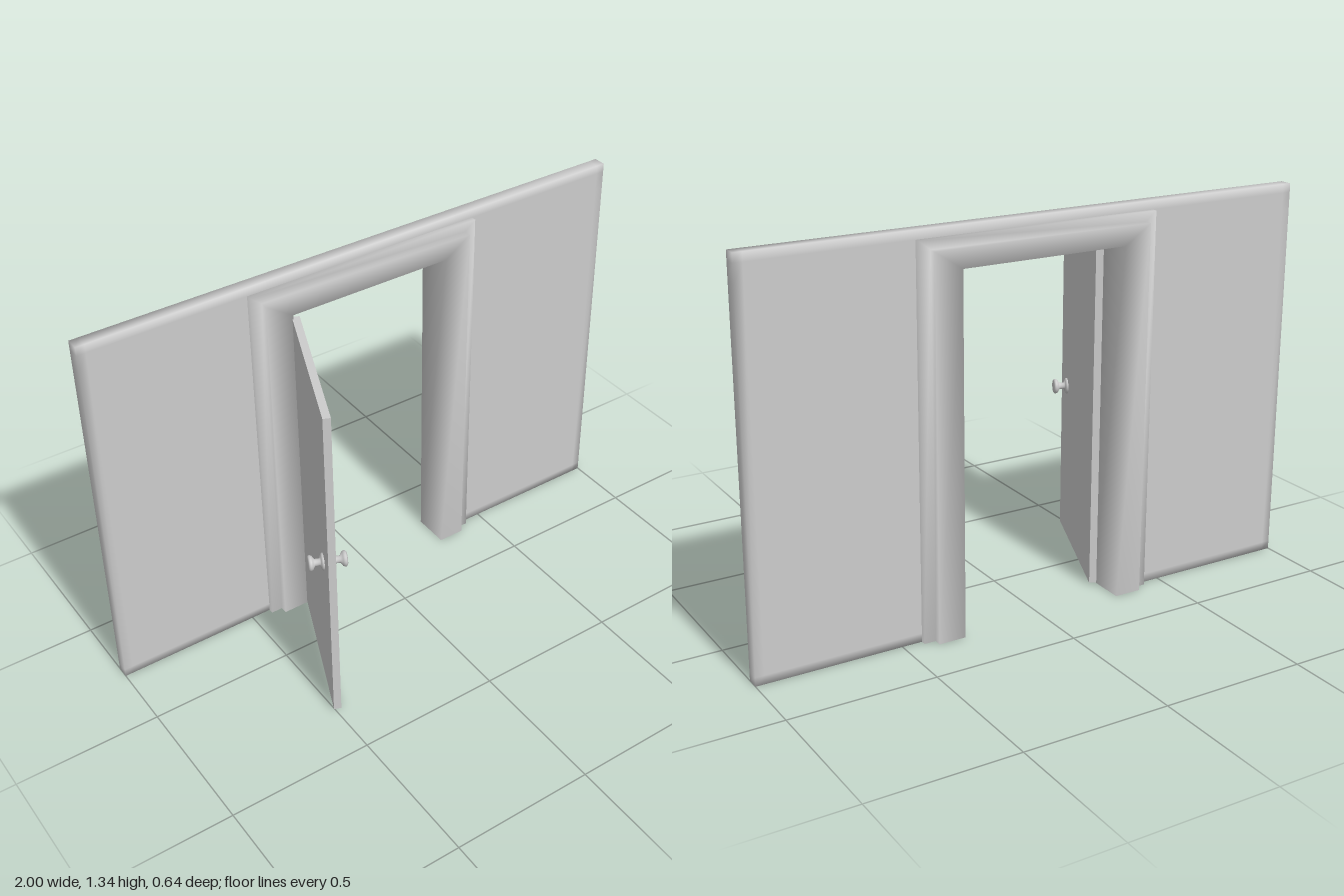
import * as THREE from 'three';
import { mergeVertices } from 'three/addons/utils/BufferGeometryUtils.js';

const material = new THREE.MeshStandardMaterial({ color: 0xcccccc });

function addMesh(parent, name, geometry) {
  const mesh = new THREE.Mesh(geometry, material);
  mesh.name = name;
  parent.add(mesh);
  return mesh;
}

// Wall slab: a segmented box with narrow border strips for soft edges,
// and a doorway whose cut edge is hidden inside the frame.
function wallGeometry() {
  const xs = [-1, -0.97, -0.36, 0.36, 0.97, 1];
  const ys = [0, 0.03, 1.25, 1.31, 1.34];
  let g = new THREE.BoxGeometry(5, 4, 0.044, 5, 4, 1);
  g.deleteAttribute('uv');
  g.deleteAttribute('normal');
  const p = g.attributes.position;
  for (let i = 0; i < p.count; i++) {
    p.setX(i, xs[Math.round(p.getX(i) + 2.5)]);
    p.setY(i, ys[Math.round(p.getY(i) + 2)]);
  }
  const old = g.index.array, kept = [];
  for (let i = 0; i < old.length; i += 3) {
    const tri = [old[i], old[i + 1], old[i + 2]];
    const inDoorway = tri.every(v => Math.abs(p.getX(v)) < 0.37 && p.getY(v) < 1.26);
    if (!inDoorway) kept.push(...tri);
  }
  g.setIndex(kept);
  g = mergeVertices(g);
  g.computeVertexNormals();
  return g;
}

// Door frame: a stepped profile carried up one jamb, across and down the other.
function frameGeometry() {
  const inner = [0.295, 1.215], middle = [0.39, 1.278], outer = [0.43, 1.31];
  const profile = [
    [inner, -0.185], [middle, -0.185], [middle, -0.21], [outer, -0.21],
    [outer, -0.29], [middle, -0.29], [middle, -0.317], [inner, -0.317],
  ];
  const n = profile.length, pos = [], index = [];
  // Stations: foot and mitred corner of each jamb
  for (const [side, up] of [[1, 0], [1, 1], [-1, 1], [-1, 0]]) {
    for (const [[x, y], z] of profile) pos.push(side * x, up * y, z);
  }
  for (let s = 0; s < 3; s++) {
    for (let i = 0; i < n; i++) {
      const a = s * n + i, b = s * n + (i + 1) % n;
      index.push(a, b, b + n, a, b + n, a + n);
    }
  }
  const g = new THREE.BufferGeometry();
  g.setAttribute('position', new THREE.Float32BufferAttribute(pos, 3));
  g.setIndex(index);
  g.computeVertexNormals();
  return g;
}

// Door knob: rose, neck and rounded grip, turned about y
function knobGeometry() {
  const profile = [
    [0.028, 0], [0.028, 0.006], [0.022, 0.01], [0.012, 0.013], [0.012, 0.03],
    [0.023, 0.037], [0.026, 0.043], [0.026, 0.048], [0.021, 0.052], [0, 0.053],
  ];
  return new THREE.LatheGeometry(profile.map(([r, y]) => new THREE.Vector2(r, y)), 24);
}

export function createModel() {
  const model = new THREE.Group();
  model.name = 'doorway';

  addMesh(model, 'wall', wallGeometry()).position.z = -0.25;
  addMesh(model, 'doorFrame', frameGeometry());

  // Open door, turned about its hinge; the leaf runs along local +z
  const door = new THREE.Group();
  door.name = 'door';
  door.position.set(-0.281, 0, -0.195);
  door.rotation.y = -0.394;
  model.add(door);

  const length = 0.552, bottom = 0.005, top = 1.2, thickness = 0.025;
  addMesh(door, 'doorLeaf', new THREE.BoxGeometry(thickness, top - bottom, length))
    .position.set(0, (top + bottom) / 2, length / 2);

  // A knob on each face
  const knob = knobGeometry();
  for (const side of [1, -1]) {
    const mesh = addMesh(door, side > 0 ? 'outerKnob' : 'innerKnob', knob);
    mesh.position.set(side * 0.011, 0.575, 0.455);
    mesh.rotation.z = -side * Math.PI / 2;
  }
  return model;
}
